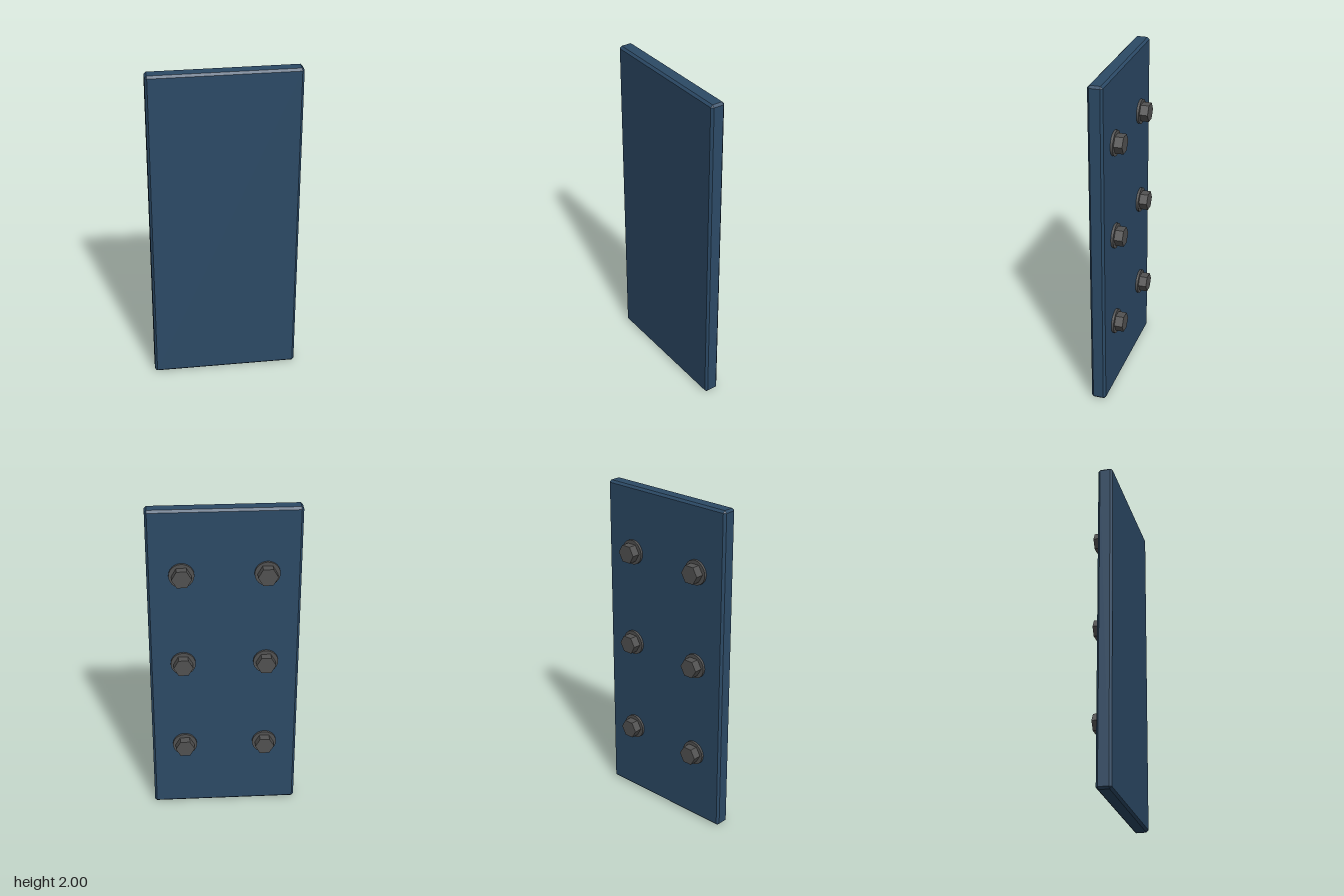
import * as THREE from 'three';
import { ConvexGeometry } from 'three/addons/geometries/ConvexGeometry.js';

const plateBlue = new THREE.MeshStandardMaterial({ color: 0x2c4a66 });
plateBlue.name = 'plateBlue';
const boltGrey = new THREE.MeshStandardMaterial({ color: 0x525252 });
boltGrey.name = 'boltGrey';

// Box with a single flat chamfer on every edge and corner
function chamferedBox(w, h, d, c) {
  const points = [];
  const half = [w / 2, h / 2, d / 2];
  for (const sx of [-1, 1]) for (const sy of [-1, 1]) for (const sz of [-1, 1]) {
    for (let face = 0; face < 3; face++) {
      const p = half.map((v, axis) => (axis === face ? v : v - c));
      points.push(new THREE.Vector3(p[0] * sx, p[1] * sy, p[2] * sz));
    }
  }
  return new ConvexGeometry(points);
}

// Cylinder lying along z between two depths
function disc(name, radius, zBack, zFront, sides) {
  const geometry = new THREE.CylinderGeometry(radius, radius, zFront - zBack, sides);
  geometry.rotateY(Math.PI / 2); // a corner points along x
  geometry.rotateX(Math.PI / 2);
  geometry.translate(0, 0, (zFront + zBack) / 2);
  // hexagonal heads need hard edges, round washers stay smooth
  const mesh = new THREE.Mesh(sides === 6 ? flat(geometry) : geometry, boltGrey);
  mesh.name = name;
  return mesh;
}

function flat(geometry) {
  const g = geometry.toNonIndexed();
  g.computeVertexNormals();
  return g;
}

export function createModel() {
  const model = new THREE.Group();
  model.name = 'boltedPlate';

  // Panel
  const plate = new THREE.Mesh(chamferedBox(0.886, 2, 0.088, 0.013), plateBlue);
  plate.name = 'plate';
  plate.position.set(0, 1, 0.031);
  model.add(plate);

  // Two columns of three hex bolts on the back
  for (const x of [-0.245, 0.245]) {
    for (const y of [0.445, 1.025, 1.605]) {
      const bolt = new THREE.Group();
      bolt.name = 'bolt';
      bolt.add(disc('washer', 0.074, -0.027, -0.01, 24));
      bolt.add(disc('hexHead', 0.058, -0.076, -0.026, 6));
      bolt.position.set(x, y, 0);
      model.add(bolt);
    }
  }
  return model;
}
